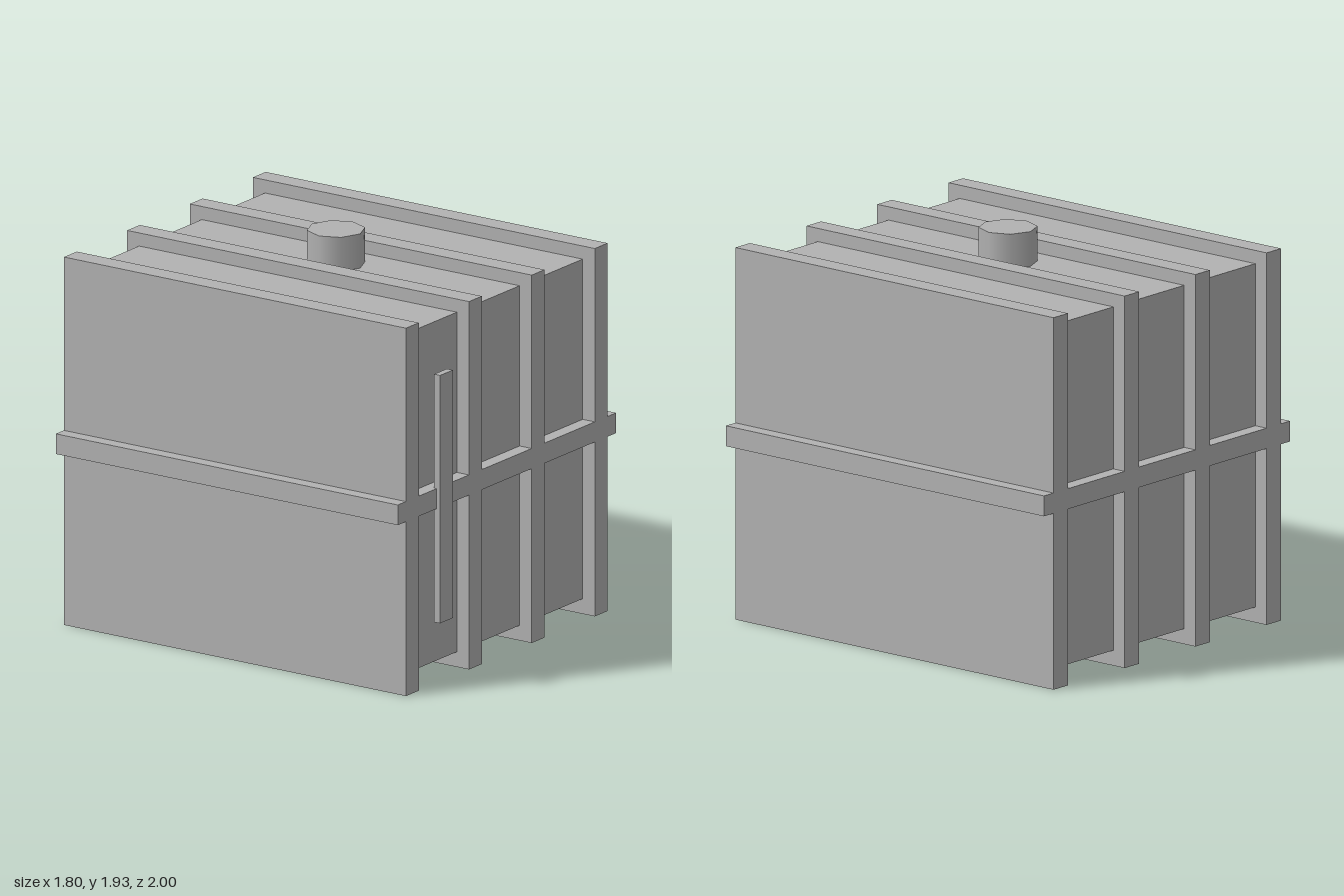
import * as THREE from 'three';

export function createModel() {
  const group = new THREE.Group();
  const grey = new THREE.MeshStandardMaterial({ color: 0xb2b2b2 });
  grey.name = 'plain grey';

  // Box given by its lower and upper corners
  function box(name, [x0, y0, z0], [x1, y1, z1]) {
    const mesh = new THREE.Mesh(new THREE.BoxGeometry(x1 - x0, y1 - y0, z1 - z0), grey);
    mesh.name = name;
    mesh.position.set((x0 + x1) / 2, (y0 + y1) / 2, (z0 + z1) / 2);
    group.add(mesh);
  }

  const back = -1, front = 0.98;

  // Tank body, set in behind the ribs
  box('tankBody', [-0.78, 0.075, -0.93], [0.78, 1.76, 0.91]);

  // Four upright ribs wrapping the tank
  [-0.78, -0.26, 0.257, 0.777].forEach((x, i) => {
    box(`rib${i + 1}`, [x - 0.053, 0, back], [x + 0.053, 1.825, front]);
  });

  // Horizontal band around the middle
  box('middleBand', [-0.9, 0.865, back], [0.9, 0.965, front]);

  // Upright level gauge on the front
  box('levelGauge', [-0.58, 0.3, 0.965], [-0.475, 1.53, 1]);

  // Eight-sided filler cap
  const cap = new THREE.Mesh(new THREE.CylinderGeometry(0.14, 0.14, 0.19, 8), grey);
  cap.name = 'fillerCap';
  cap.position.set(0, 1.835, -0.01);
  group.add(cap);

  return group;
}
